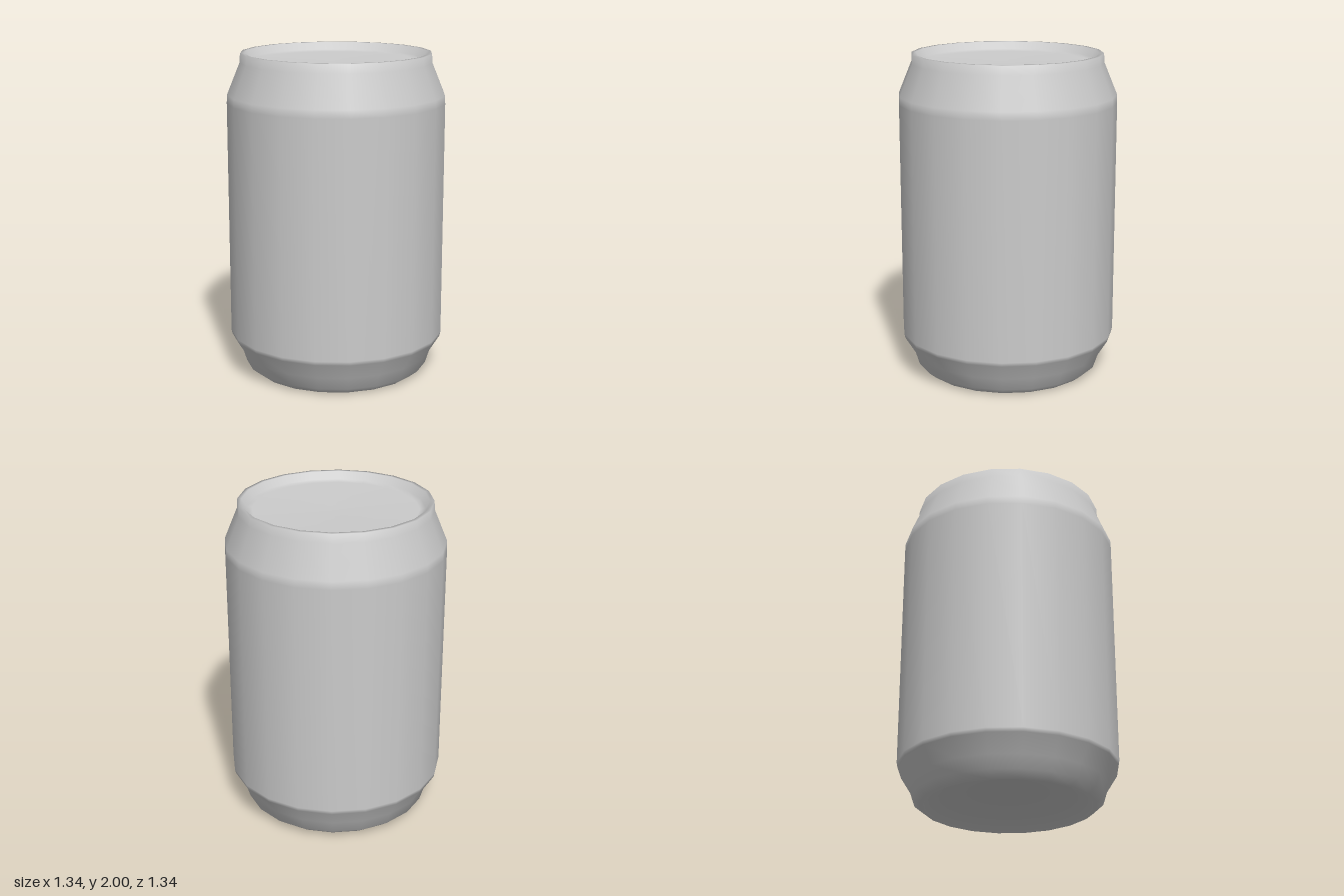
import * as THREE from 'three';

const SIDES = 20;

// Half cross-section [radius, height], from the centre of the base round to the centre of the lid
const profile = [
  // domed underside
  [0, 0.11], [0.2, 0.1], [0.38, 0.07], [0.48, 0.03],
  // standing ring and tapered foot
  [0.505, 0.005], [0.525, 0], [0.575, 0.04], [0.6, 0.12],
  // straight wall, with close rings that keep the shoulders crisp
  [0.665, 0.225], [0.67, 0.25], [0.67, 1.7], [0.668, 1.75],
  // neck and rim
  [0.588, 1.945], [0.585, 2], [0.56, 2],
  // sunken lid
  [0.535, 1.955], [0.5, 1.945], [0, 1.935],
];

export function createModel() {
  const model = new THREE.Group();
  model.name = 'drinkCan';

  const points = profile.map(([r, y]) => new THREE.Vector2(r, y));
  const shell = new THREE.Mesh(
    new THREE.LatheGeometry(points, SIDES),
    new THREE.MeshStandardMaterial({ color: 0xcccccc })
  );
  shell.name = 'canShell';
  model.add(shell);
  return model;
}
